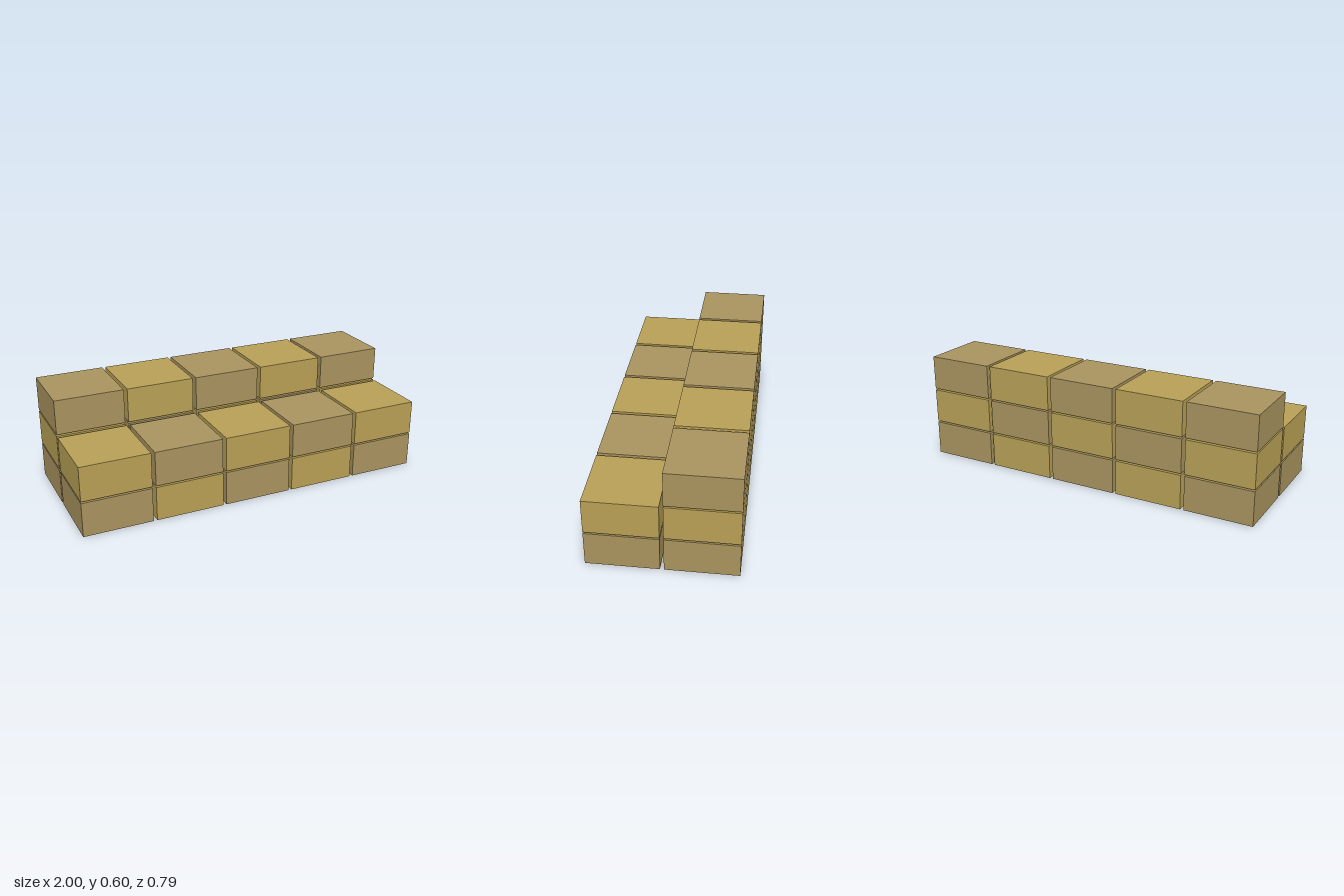
import * as THREE from 'three';

// Stepped stack of bales: two layers in the front row, three in the back row.
export function createModel() {
  const group = new THREE.Group();
  group.name = 'baleStack';

  const tan = new THREE.MeshStandardMaterial({ color: 0xa9945f });
  tan.name = 'dry tan straw';
  const gold = new THREE.MeshStandardMaterial({ color: 0xb8a056 });
  gold.name = 'golden straw';

  const width = 0.384, height = 0.194, depth = 0.384;
  const pitchX = 0.404, pitchY = 0.203, pitchZ = 0.404;
  const bale = new THREE.BoxGeometry(width, height, depth);

  const rows = [
    { name: 'front', z: pitchZ / 2, layers: 2 },
    { name: 'back', z: -pitchZ / 2, layers: 3 },
  ];

  for (const row of rows) {
    for (let layer = 0; layer < row.layers; layer++) {
      for (let column = 0; column < 5; column++) {
        // Colours alternate along each layer and from layer to layer
        const mesh = new THREE.Mesh(bale, (layer + column) % 2 ? gold : tan);
        mesh.name = `${row.name}Bale_layer${layer + 1}_column${column + 1}`;
        mesh.position.set((column - 2) * pitchX, height / 2 + layer * pitchY, row.z);
        group.add(mesh);
      }
    }
  }
  return group;
}
